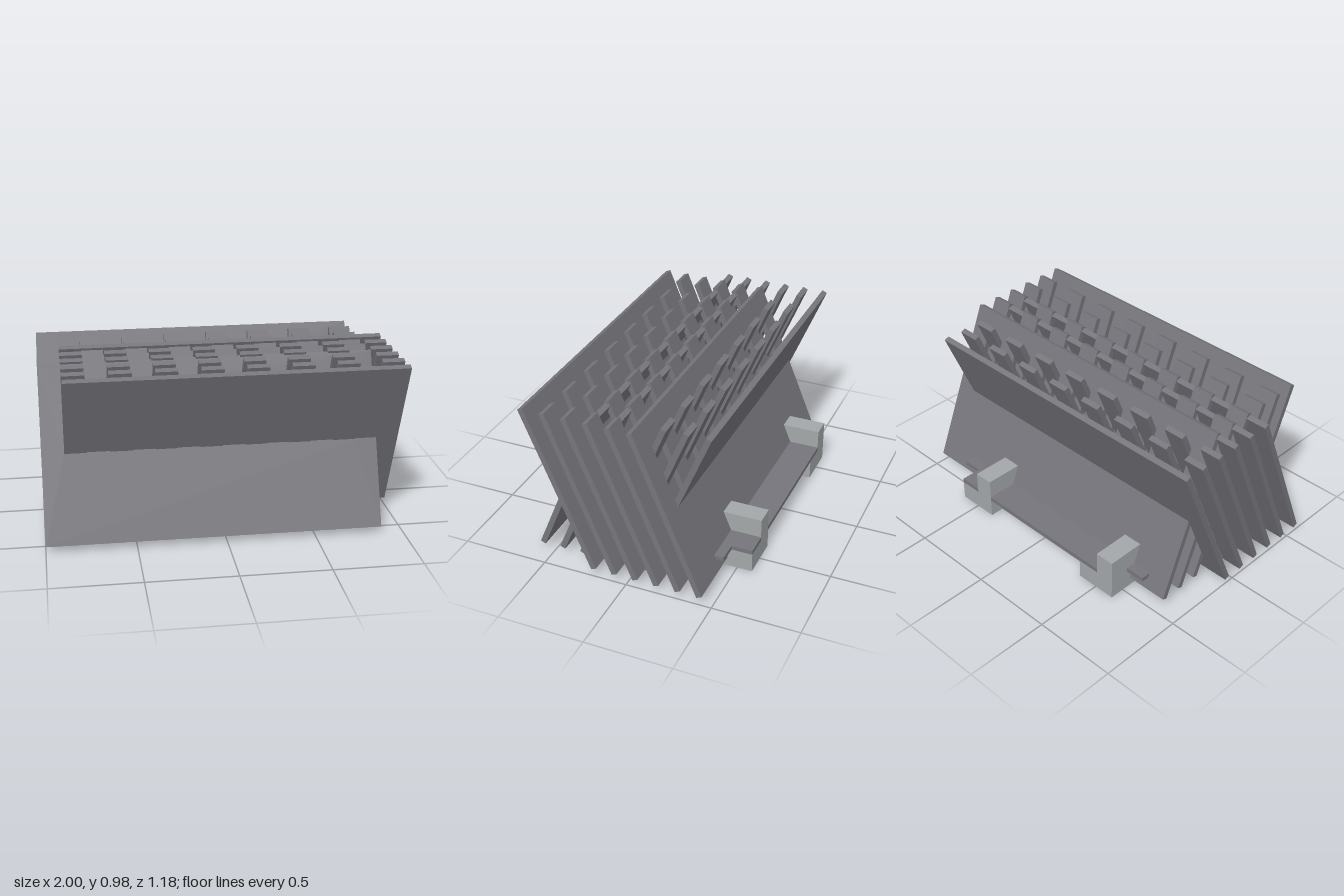
import * as THREE from 'three';

const TILT = Math.PI / 8, LENGTH = 1, THICK = 0.032, STEP = 0.1245, COUNT = 6;

export function createModel() {
  const root = new THREE.Group();
  root.name = 'interlockedSlatSculpture';
  const slatGrey = new THREE.MeshStandardMaterial({ name: 'darkGrey', color: 0x76757b });
  const footGrey = new THREE.MeshStandardMaterial({ name: 'lightGrey', color: 0xa3a7a9 });

  // Box given by its limits on each axis
  function box(name, parent, mat, x0, x1, y0, y1, z0, z1) {
    const m = new THREE.Mesh(new THREE.BoxGeometry(x1 - x0, y1 - y0, z1 - z0), mat);
    m.position.set((x0 + x1) / 2, (y0 + y1) / 2, (z0 + z1) / 2);
    m.name = name;
    parent.add(m);
    return m;
  }

  const rect = (Type, x0, x1, y0, y1) => new Type([
    [x0, y0], [x1, y0], [x1, y1], [x0, y1],
  ].map(([x, y]) => new THREE.Vector2(x, y)));

  // Outer panel: solid except for a row of windows in its upper or lower half
  function windowedPanel(parent, start, side) {
    const shape = rect(THREE.Shape, start, start + 1.875, -LENGTH / 2, LENGTH / 2);
    const lo = side > 0 ? 0 : -0.35, hi = side > 0 ? 0.35 : 0;
    for (let k = 0; k < 7; k++) {
      const x = start + 0.125 + k * 0.25;
      shape.holes.push(rect(THREE.Path, x, x + 0.125, lo, hi));
    }
    const geo = new THREE.ExtrudeGeometry(shape, { depth: THICK, bevelEnabled: false });
    geo.translate(0, 0, -THICK / 2);
    const m = new THREE.Mesh(geo, slatGrey);
    m.name = 'windowedPanel';
    parent.add(m);
  }

  // Two crossing families of slats, leaning forward and backward
  const families = [
    { name: 'forwardSlats', start: -0.875, tilt: TILT, y: 0.51, frontSide: -1 },
    { name: 'backwardSlats', start: -1, tilt: -TILT, y: 0.494, frontSide: 1 },
  ];
  for (const f of families) {
    const family = new THREE.Group();
    family.name = f.name;
    root.add(family);
    for (let i = 0; i < COUNT; i++) {
      const row = new THREE.Group();
      row.name = 'slatRow';
      row.position.set(0, f.y, 0.385 - i * STEP);
      row.rotation.x = f.tilt;
      family.add(row);
      if (i === 0) windowedPanel(row, f.start, f.frontSide);
      else if (i === COUNT - 1) windowedPanel(row, f.start, -f.frontSide);
      else {
        for (let k = 0; k < 8; k++) {
          const x = f.start + k * 0.25;
          box('finger', row, slatGrey, x, x + 0.125, -LENGTH / 2, LENGTH / 2, -THICK / 2, THICK / 2);
        }
      }
    }
  }

  // Four stepped feet: a tall half and a low half
  for (const x of [-0.625, 0.375]) {
    for (const z of [0.035, -0.587]) {
      const foot = new THREE.Group();
      foot.name = 'foot';
      root.add(foot);
      box('footTall', foot, footGrey, x, x + 0.115, 0, 0.25, z, z + 0.373);
      box('footLow', foot, footGrey, x + 0.115, x + 0.25, 0, 0.113, z, z + 0.373);
    }
  }

  // Base plate: rear crosspiece around the feet and side bars running forward
  const base = new THREE.Group();
  base.name = 'basePlate';
  root.add(base);
  box('rearCrosspiece', base, slatGrey, -0.51, 0.375, 0.113, 0.138, -0.587, -0.34);
  box('rearCrosspieceEnd', base, slatGrey, 0.49, 0.625, 0.113, 0.138, -0.587, -0.34);
  box('sideBar', base, slatGrey, -0.74, -0.625, 0.113, 0.138, -0.465, 0.39);
  box('sideBar', base, slatGrey, 0.625, 0.74, 0.113, 0.138, -0.465, 0.39);
  return root;
}
